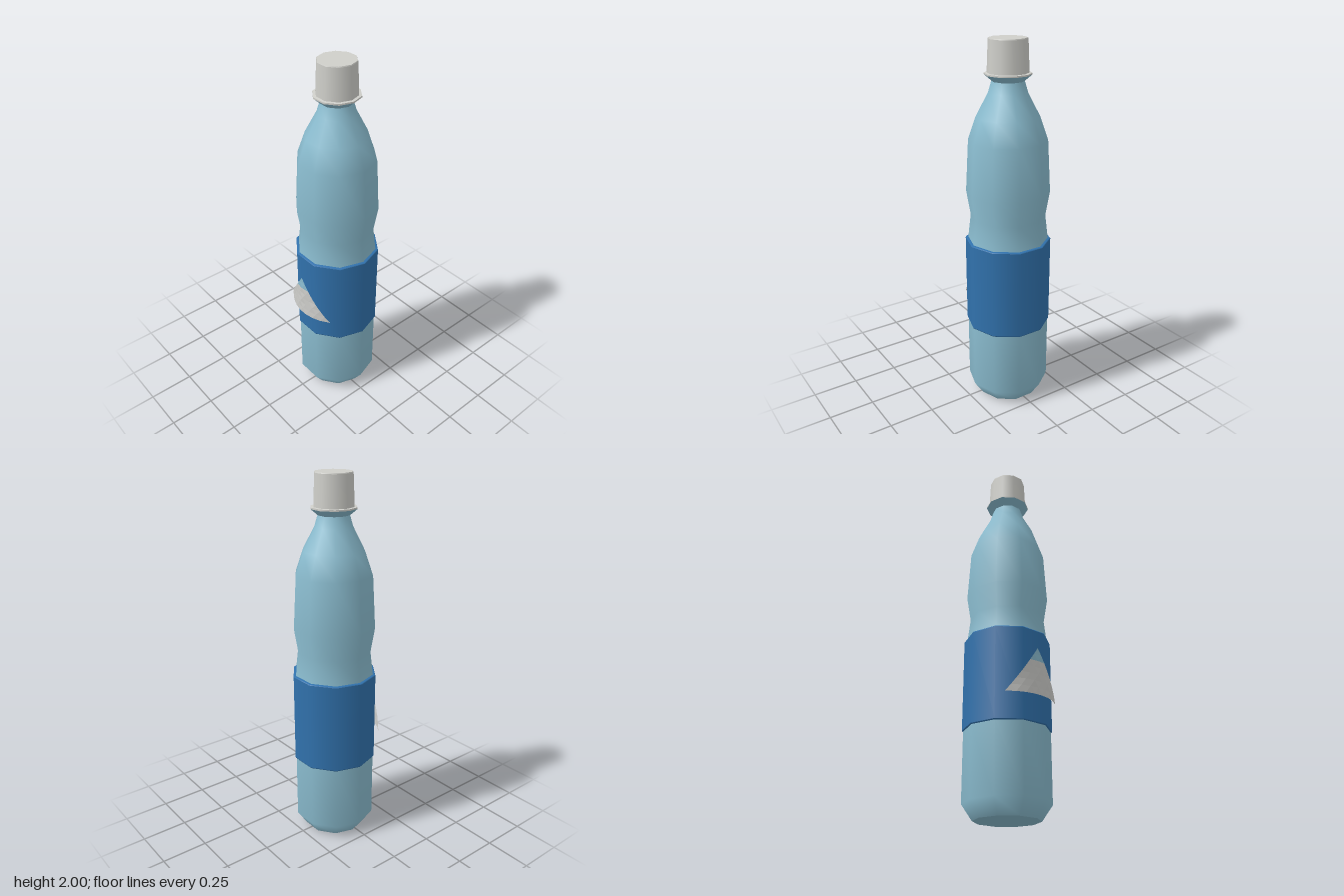
import * as THREE from 'three';

const SIDES = 10;
const AXIS_Z = -0.02; // bottle axis sits slightly back because the emblem stands proud in front

const plastic = new THREE.MeshStandardMaterial({ color: 0x8bbdd0 });
plastic.name = 'pale blue plastic';
const labelBlue = new THREE.MeshStandardMaterial({ color: 0x3172ad });
labelBlue.name = 'label blue';
const capGrey = new THREE.MeshStandardMaterial({ color: 0xcfcfca });
capGrey.name = 'cap grey';
const emblemGrey = new THREE.MeshStandardMaterial({ color: 0xcfcfcc, flatShading: true, side: THREE.DoubleSide });
emblemGrey.name = 'emblem grey';
const emblemTip = new THREE.MeshStandardMaterial({ color: 0x8bbdd1, flatShading: true, side: THREE.DoubleSide });
emblemTip.name = 'emblem tip blue';

// Ten-sided turned part from a bottom-to-top profile, with corners on the x axis
function turned(name, material, profile) {
  const points = profile.map(([r, y]) => new THREE.Vector2(r, y));
  const mesh = new THREE.Mesh(new THREE.LatheGeometry(points, SIDES, Math.PI / 2), material);
  mesh.name = name;
  return mesh;
}

// Rows of a curved triangle, split into small facets
function emblemRows(name, material, from, to) {
  const ROWS = 7, TOP = 0.83, BASE = 0.58, HALF = 0.165, R = 0.257;
  const vertex = (row, i) => {
    const half = HALF * row / ROWS;
    const x = row ? -half + 2 * half * i / row : 0;
    const inside = i > 0 && i < row && row < ROWS;
    const bump = inside ? 0.0015 * Math.sin(row * 5.3 + i * 2.9) : 0;
    return [x, TOP - (TOP - BASE) * row / ROWS, Math.sqrt(R * R - x * x) - 0.029 + bump];
  };
  const positions = [];
  for (let row = from; row < to; row++) {
    for (let i = 0; i <= row; i++) {
      positions.push(...vertex(row, i), ...vertex(row + 1, i), ...vertex(row + 1, i + 1));
      if (i < row) positions.push(...vertex(row, i), ...vertex(row + 1, i + 1), ...vertex(row, i + 1));
    }
  }
  const geometry = new THREE.BufferGeometry();
  geometry.setAttribute('position', new THREE.Float32BufferAttribute(positions, 3));
  geometry.computeVertexNormals();
  const mesh = new THREE.Mesh(geometry, material);
  mesh.name = name;
  return mesh;
}

export function createModel() {
  const model = new THREE.Group();
  model.name = 'bottle';

  const vessel = new THREE.Group();
  vessel.name = 'vessel';
  vessel.position.z = AXIS_Z;
  model.add(vessel);

  // Body: flat base, chamfered foot, waist and shoulder
  vessel.add(
    turned('base', plastic, [[0, 0], [0.17, 0]]),
    turned('body', plastic, [
      [0.17, 0], [0.225, 0.08], [0.225, 0.45], [0.225, 0.88], [0.216, 0.95], [0.201, 1.075],
      [0.223, 1.21], [0.207, 1.49], [0.165, 1.61], [0.102, 1.73], [0.084, 1.79],
    ]),
    turned('collar', plastic, [[0.084, 1.79], [0.122, 1.822]]),
  );

  // Wrapped label with thin closed edges
  vessel.add(
    turned('labelLowerEdge', labelBlue, [[0.215, 0.445], [0.228, 0.445], [0.231, 0.45]]),
    turned('label', labelBlue, [[0.231, 0.45], [0.231, 0.94]]),
    turned('labelUpperEdge', labelBlue, [[0.231, 0.94], [0.228, 0.945], [0.21, 0.945]]),
  );

  // Screw cap and its ring
  vessel.add(
    turned('capRingSide', capGrey, [[0.122, 1.822], [0.122, 1.83]]),
    turned('capRingTop', capGrey, [[0.122, 1.83], [0.1, 1.832]]),
    turned('capSide', capGrey, [[0.107, 1.83], [0.1, 1.995]]),
    turned('capBevel', capGrey, [[0.1, 1.995], [0.098, 2]]),
    turned('capTop', capGrey, [[0.098, 2], [0, 2]]),
  );

  // Faceted mountain emblem curved round the front
  const emblem = new THREE.Group();
  emblem.name = 'emblem';
  emblem.add(
    emblemRows('emblemPeak', emblemTip, 0, 2),
    emblemRows('emblemSlope', emblemGrey, 2, 7),
  );
  model.add(emblem);

  return model;
}
